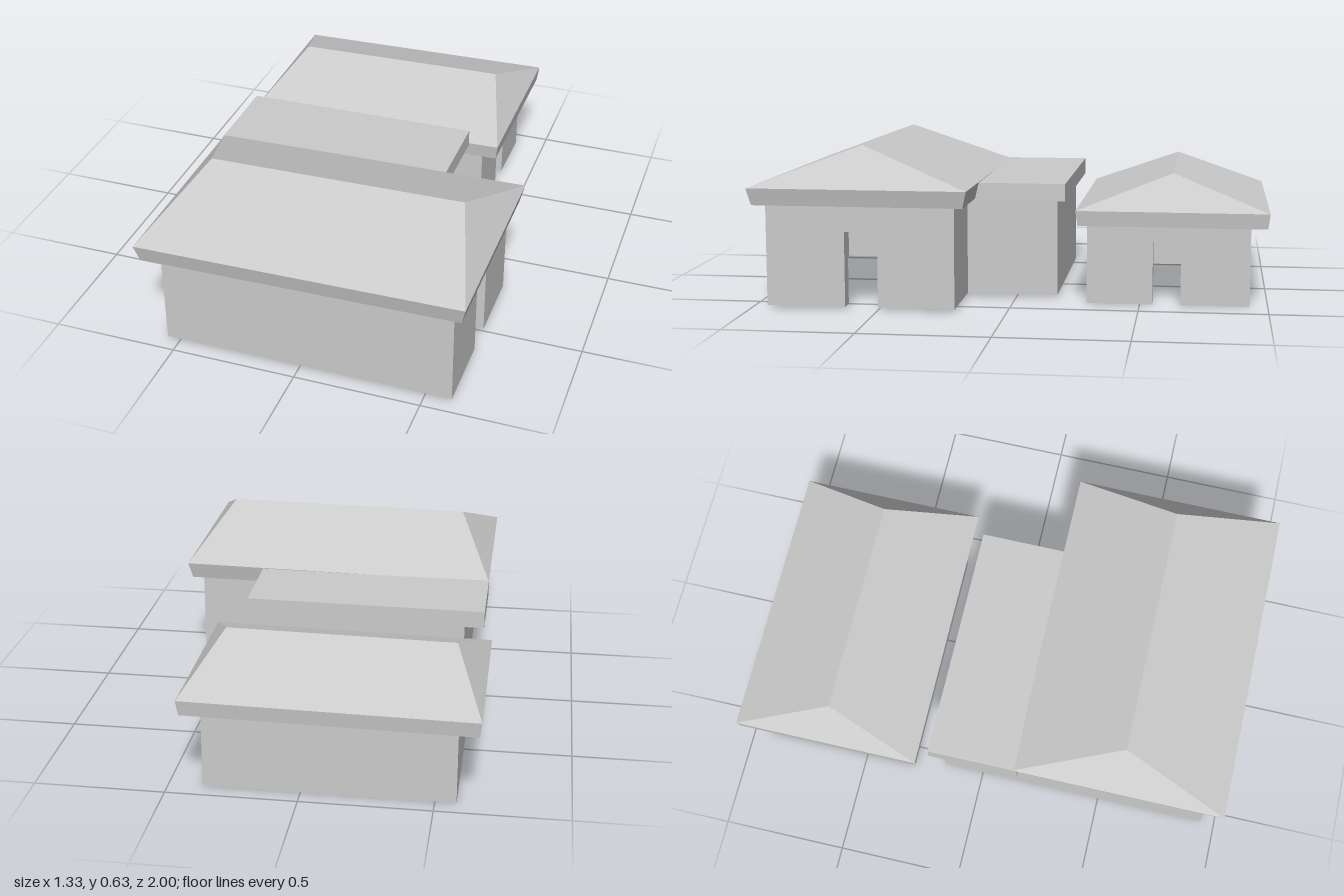
import * as THREE from 'three';

const grey = new THREE.MeshStandardMaterial({ color: 0xcccccc, flatShading: true, side: THREE.DoubleSide });
const smooth = new THREE.MeshStandardMaterial({ color: 0xcccccc });
const TILT = 0.0128; // the roofs rise slightly towards +x

function add(parent, name, geometry, material = grey) {
  const mesh = new THREE.Mesh(geometry, material);
  mesh.name = name;
  parent.add(mesh);
  return mesh;
}

// Box given by its limits on each axis
function block(parent, name, [x0, x1], [y0, y1], [z0, z1]) {
  const mesh = add(parent, name, new THREE.BoxGeometry(x1 - x0, y1 - y0, z1 - z0));
  mesh.position.set((x0 + x1) / 2, (y0 + y1) / 2, (z0 + z1) / 2);
  return mesh;
}

// Wall across z with a doorway open at the bottom; its outer face is at x
function doorWall(parent, name, x, t, [y0, y1], [z0, z1], [d0, d1], doorTop) {
  const points = [[z0, y0], [d0, y0], [d0, doorTop], [d1, doorTop], [d1, y0], [z1, y0], [z1, y1], [z0, y1]];
  const shape = new THREE.Shape(points.map(([z, y]) => new THREE.Vector2(-z, y)));
  const geometry = new THREE.ExtrudeGeometry(shape, { depth: t, bevelEnabled: false });
  geometry.rotateY(Math.PI / 2);
  add(parent, name, geometry).position.x = x - t;
}

// Hollow hip roof: inner ridge, inner wall edge, fascia foot, eave, ridge
function hipRoof(parent, name, r) {
  const rect = ([x0, x1], [z0, z1], y, inset = 0) => [
    [x0 + inset, z1 - inset], [x1 - inset, z1 - inset], [x1 - inset, z0 + inset], [x0 + inset, z0 + inset],
  ].map(([x, z]) => new THREE.Vector3(x, y + TILT * x, z));
  const ridgeZ = [r.ridgeZ, r.ridgeZ];
  const rings = [
    rect(r.ridgeX, ridgeZ, r.ridgeY - 0.05),
    rect(r.innerX, r.innerZ, r.footY),
    rect(r.x, r.z, r.footY, r.inset),
    rect(r.x, r.z, r.eaveY),
    rect(r.ridgeX, ridgeZ, r.ridgeY),
  ];
  const points = [];
  for (let k = 0; k < rings.length - 1; k++) {
    for (let i = 0; i < 4; i++) {
      const j = (i + 1) % 4;
      const a = rings[k][i], b = rings[k][j], c = rings[k + 1][j], d = rings[k + 1][i];
      for (const tri of [[a, b, c], [a, c, d]]) {
        const [p, q, s] = tri;
        if (!p.equals(q) && !q.equals(s) && !s.equals(p)) points.push(...tri);
      }
    }
  }
  const geometry = new THREE.BufferGeometry().setFromPoints(points);
  geometry.computeVertexNormals();
  add(parent, name, geometry);
}

function mainHouse() {
  const house = new THREE.Group();
  house.name = 'mainHouse';
  const t = 0.06, y = [0.01, 0.405];
  block(house, 'frontWall', [-0.55, 0.605], y, [0.94 - t, 0.94]);
  block(house, 'longSideWall', [-0.55, -0.55 + t], y, [-0.165 + t, 0.94 - t]);
  doorWall(house, 'doorWall', 0.605, t, y, [0.2 + t, 0.94 - t], [0.5, 0.63], 0.305);
  block(house, 'stepWall', [0.28 - t, 0.605], y, [0.2, 0.2 + t]);
  block(house, 'annexSideWall', [0.28 - t, 0.28], y, [-0.165 + t, 0.2]);
  block(house, 'annexBackWall', [-0.55, 0.28], y, [-0.165, -0.165 + t]);
  hipRoof(house, 'mainRoof', {
    x: [-0.63, 0.66], z: [0.145, 1], eaveY: 0.467, footY: 0.4, inset: 0.016,
    innerX: [-0.49, 0.545], innerZ: [0.26, 0.88], ridgeX: [-0.49, 0.53], ridgeZ: 0.57, ridgeY: 0.628,
  });
  // Flat roof running into the back eave of the main roof
  const flat = block(house, 'annexRoof', [-0.63, 0.333], [0.396, 0.465], [-0.2, 0.165]);
  flat.rotation.z = TILT * 0.5;
  return house;
}

function backHouse() {
  const house = new THREE.Group();
  house.name = 'backHouse';
  const t = 0.065, y = [0, 0.325];
  block(house, 'frontWall', [-0.58, 0.37], y, [-0.29 - t, -0.29]);
  block(house, 'backWall', [-0.58, 0.37], y, [-0.93, -0.93 + t]);
  block(house, 'plainSideWall', [-0.58, -0.58 + t], y, [-0.93 + t, -0.29 - t]);
  doorWall(house, 'doorWall', 0.37, t, y, [-0.93 + t, -0.29 - t], [-0.66, -0.55], 0.25);
  hipRoof(house, 'backRoof', {
    x: [-0.665, 0.445], z: [-1, -0.25], eaveY: 0.373, footY: 0.313, inset: 0.008,
    innerX: [-0.515, 0.305], innerZ: [-0.865, -0.355], ridgeX: [-0.55, 0.33], ridgeZ: -0.625, ridgeY: 0.514,
  });
  return house;
}

// Small standing figure with its arms held out
function figure() {
  const person = new THREE.Group();
  person.name = 'figure';
  const limb = (name, from, to, radius) => {
    const a = new THREE.Vector3(...from), b = new THREE.Vector3(...to);
    const dir = b.clone().sub(a);
    const mesh = add(person, name, new THREE.CapsuleGeometry(radius, dir.length(), 3, 8), smooth);
    mesh.position.copy(a).add(b).multiplyScalar(0.5);
    mesh.quaternion.setFromUnitVectors(new THREE.Vector3(0, 1, 0), dir.normalize());
  };
  const profile = [[0, 0.095], [0.018, 0.1], [0.015, 0.125], [0.022, 0.155], [0.007, 0.17], [0.006, 0.18]];
  const torso = add(person, 'torso', new THREE.LatheGeometry(profile.map(([r, h]) => new THREE.Vector2(r, h)), 12), smooth);
  torso.scale.z = 0.65;
  const head = add(person, 'head', new THREE.SphereGeometry(0.015, 12, 8), smooth);
  head.position.y = 0.193;
  head.scale.y = 1.2;
  for (const side of [-1, 1]) {
    limb('leg', [side * 0.01, 0.1, 0], [side * 0.014, 0.01, 0], 0.008);
    limb('foot', [side * 0.014, 0.006, 0], [side * 0.016, 0.006, 0.016], 0.006);
    limb('arm', [side * 0.022, 0.157, 0], [side * 0.085, 0.12, 0], 0.005);
  }
  person.position.set(-0.06, 0, -0.51);
  return person;
}

export function createModel() {
  const model = new THREE.Group();
  model.name = 'houses';
  model.add(mainHouse(), backHouse(), figure());
  return model;
}
